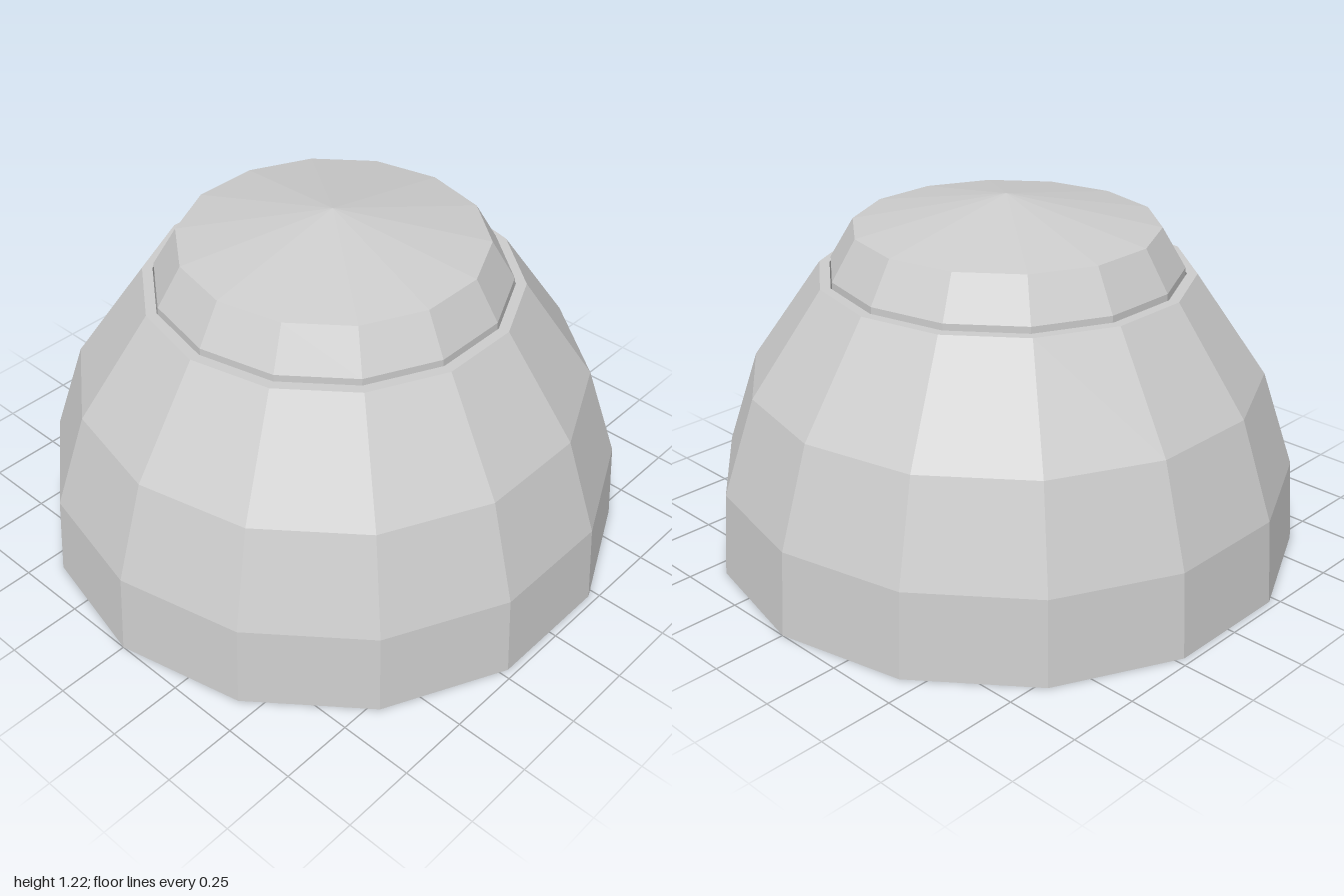
import * as THREE from 'three';

const SIDES = 14;

// Faceted surface of revolution from [radius, height] pairs, bottom to top
function turned(name, profile, material) {
  const points = profile.map(([r, y]) => new THREE.Vector2(r, y));
  const mesh = new THREE.Mesh(new THREE.LatheGeometry(points, SIDES), material);
  mesh.name = name;
  return mesh;
}

export function createModel() {
  const grey = new THREE.MeshStandardMaterial({
    color: 0xcccccc, flatShading: true, side: THREE.DoubleSide,
  });
  grey.name = 'plain grey';

  const model = new THREE.Group();
  model.name = 'dome';

  // Open-bottomed outer shell, ending in a narrow flat ledge
  model.add(turned('outerShell', [
    [1, 0], [0.98, 0.29], [0.87, 0.62], [0.63, 0.965], [0.595, 0.965],
  ], grey));

  // Inner sleeve hanging inside the shell and rising into the tapered collar
  model.add(turned('innerSleeve', [[0.595, 0.545], [0.59, 0.985]], grey));
  model.add(turned('collar', [[0.59, 0.985], [0.51, 1.12]], grey));

  // Shallow conical roof
  model.add(turned('roof', [[0.51, 1.12], [0, 1.22]], grey));

  return model;
}
